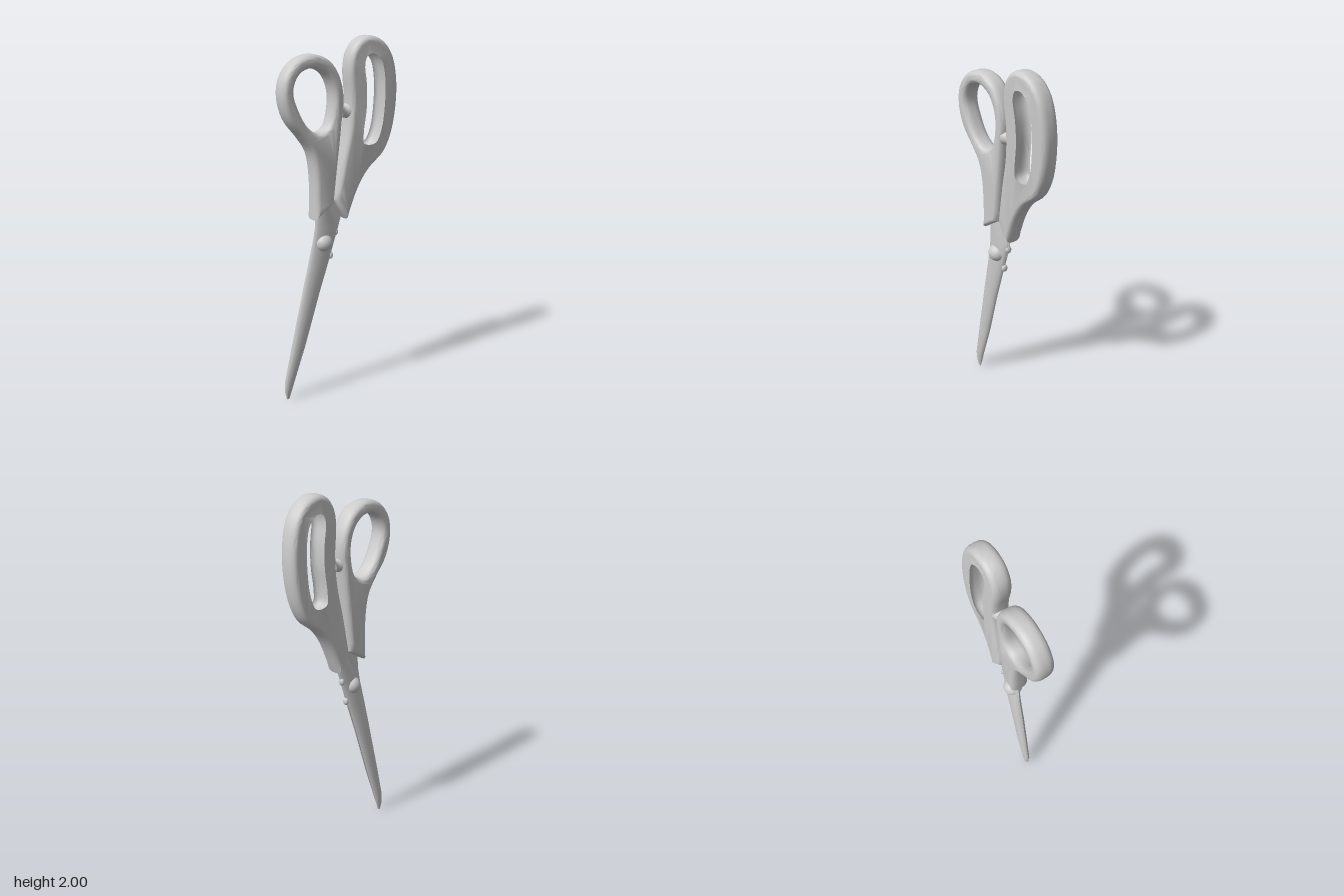
import * as THREE from 'three';
import { toCreasedNormals } from 'three/addons/utils/BufferGeometryUtils.js';

const material = new THREE.MeshStandardMaterial({ color: 0xcccccc, side: THREE.DoubleSide });

// Smooth curve through [x, y] points, as 2D points
function smooth(points, closed) {
  const curve = new THREE.CatmullRomCurve3(points.map(([x, y]) => new THREE.Vector3(x, y, 0)), closed);
  const list = curve.getPoints((closed ? points.length : points.length - 1) * 4);
  if (closed) list.pop();
  return list.map((p) => new THREE.Vector2(p.x, p.y));
}

// Rounded grip with a finger hole, leaning slightly in z along its height
function grip(outer, hole, z, lean) {
  const shape = new THREE.Shape(smooth(outer, false));
  shape.holes.push(new THREE.Path(smooth(hole, true)));
  const depth = 0.025, bevel = 0.026;
  const geometry = new THREE.ExtrudeGeometry(shape, {
    depth, bevelEnabled: true, bevelSize: bevel, bevelOffset: -bevel, bevelThickness: 0.039, bevelSegments: 5,
  });
  geometry.translate(0, 0, z - depth / 2);
  const p = geometry.attributes.position;
  for (let i = 0; i < p.count; i++) p.setZ(i, p.getZ(i) + lean * (p.getY(i) - 1.5));
  return toCreasedNormals(geometry, 0.75);
}

// Blade lofted from rows [y, left x, right x, z of flat face, bulge]
function blade(rows, side) {
  const n = 20, positions = [], index = [];
  rows.forEach(([y, x0, x1, z, bulge], i) => {
    for (let j = 0; j < n; j++) {
      const a = (j / n) * Math.PI * 2;
      positions.push((x0 + x1) / 2 + ((x1 - x0) / 2) * Math.cos(a), y, z + side * bulge * Math.max(0, side * Math.sin(a)));
      if (i === rows.length - 1) continue;
      const k = i * n + j, l = i * n + ((j + 1) % n);
      index.push(k, k + n, l, l, k + n, l + n);
    }
  });
  const geometry = new THREE.BufferGeometry();
  geometry.setAttribute('position', new THREE.Float32BufferAttribute(positions, 3));
  geometry.setIndex(index);
  return toCreasedNormals(geometry, 0.7);
}

export function createModel() {
  const group = new THREE.Group();
  const add = (name, geometry, x = 0, y = 0, z = 0) => {
    const mesh = new THREE.Mesh(geometry, material);
    mesh.name = name;
    mesh.position.set(x, y, z);
    group.add(mesh);
    return mesh;
  };

  // Thumb grip: round eye
  add('thumbGrip', grip(
    [[-0.045, 1.11], [-0.02, 1.33], [0.003, 1.53], [0.017, 1.69], [-0.01, 1.80], [-0.075, 1.885], [-0.18, 1.92],
      [-0.285, 1.89], [-0.35, 1.81], [-0.365, 1.71], [-0.33, 1.59], [-0.25, 1.49], [-0.195, 1.41], [-0.17, 1.29], [-0.165, 1.035]],
    [[-0.14, 1.508], [-0.205, 1.545], [-0.265, 1.64], [-0.295, 1.74], [-0.26, 1.82], [-0.18, 1.848],
      [-0.10, 1.81], [-0.058, 1.73], [-0.056, 1.62], [-0.085, 1.535]],
    -0.007, 0.01));

  // Finger grip: long eye
  add('fingerGrip', grip(
    [[-0.033, 1.13], [0.005, 1.34], [0.042, 1.52], [0.05, 1.68], [0.037, 1.83], [0.053, 1.92], [0.10, 1.98], [0.165, 2.0],
      [0.25, 1.975], [0.315, 1.905], [0.35, 1.80], [0.36, 1.65], [0.333, 1.47], [0.28, 1.36], [0.185, 1.28], [0.12, 1.19], [0.045, 1.01]],
    [[0.17, 1.39], [0.112, 1.415], [0.105, 1.49], [0.12, 1.62], [0.117, 1.74], [0.102, 1.86], [0.13, 1.92],
      [0.195, 1.93], [0.26, 1.88], [0.29, 1.78], [0.295, 1.64], [0.277, 1.49], [0.235, 1.405]],
    0.002, 0.033));

  // Front blade, with its tang running into the thumb grip
  add('frontBlade', blade([
    [0, -0.322, -0.305, -0.045, 0.003], [0.04, -0.332, -0.293, -0.044, 0.012], [0.10, -0.334, -0.273, -0.042, 0.017],
    [0.3, -0.292, -0.203, -0.037, 0.023], [0.6, -0.227, -0.112, -0.027, 0.026], [0.8, -0.182, -0.045, -0.021, 0.026],
    [0.9, -0.16, -0.015, -0.016, 0.024], [0.98, -0.147, 0.005, -0.012, 0.024], [1.06, -0.145, -0.04, -0.01, 0.024], [1.16, -0.145, -0.06, -0.008, 0.022],
  ], 1));

  // Back blade, with its tang running into the finger grip
  add('backBlade', blade([
    [0, -0.322, -0.305, -0.045, 0.003], [0.04, -0.332, -0.293, -0.044, 0.012], [0.10, -0.334, -0.275, -0.042, 0.018],
    [0.3, -0.29, -0.208, -0.037, 0.025], [0.6, -0.224, -0.118, -0.027, 0.028], [0.8, -0.178, -0.05, -0.021, 0.028],
    [0.9, -0.15, -0.012, -0.016, 0.025], [0.98, -0.11, 0.012, -0.012, 0.023], [1.06, -0.06, 0.035, -0.01, 0.022], [1.16, -0.01, 0.06, -0.008, 0.02],
  ], -1));

  // Pivot rivet, domed on both faces
  const rivet = add('pivotRivet', new THREE.SphereGeometry(1, 24, 16), -0.092, 0.893, -0.013);
  rivet.scale.set(0.052, 0.05, 0.053);

  // Small stops on the blade edge
  [[-0.04, 0.81], [-0.006, 0.94]].forEach(([x, y]) => {
    add('edgeStop', new THREE.SphereGeometry(1, 12, 8), x, y, -0.02).scale.set(0.014, 0.022, 0.018);
  });

  // Waisted bumper between the grips
  const profile = [[0.045, -0.03], [0.036, -0.012], [0.032, 0], [0.036, 0.012], [0.045, 0.03]];
  const bumper = add('gripBumper', new THREE.LatheGeometry(profile.map(([r, h]) => new THREE.Vector2(r, h)), 20), 0.03, 1.607, 0);
  bumper.rotation.z = Math.PI / 2;

  return group;
}
